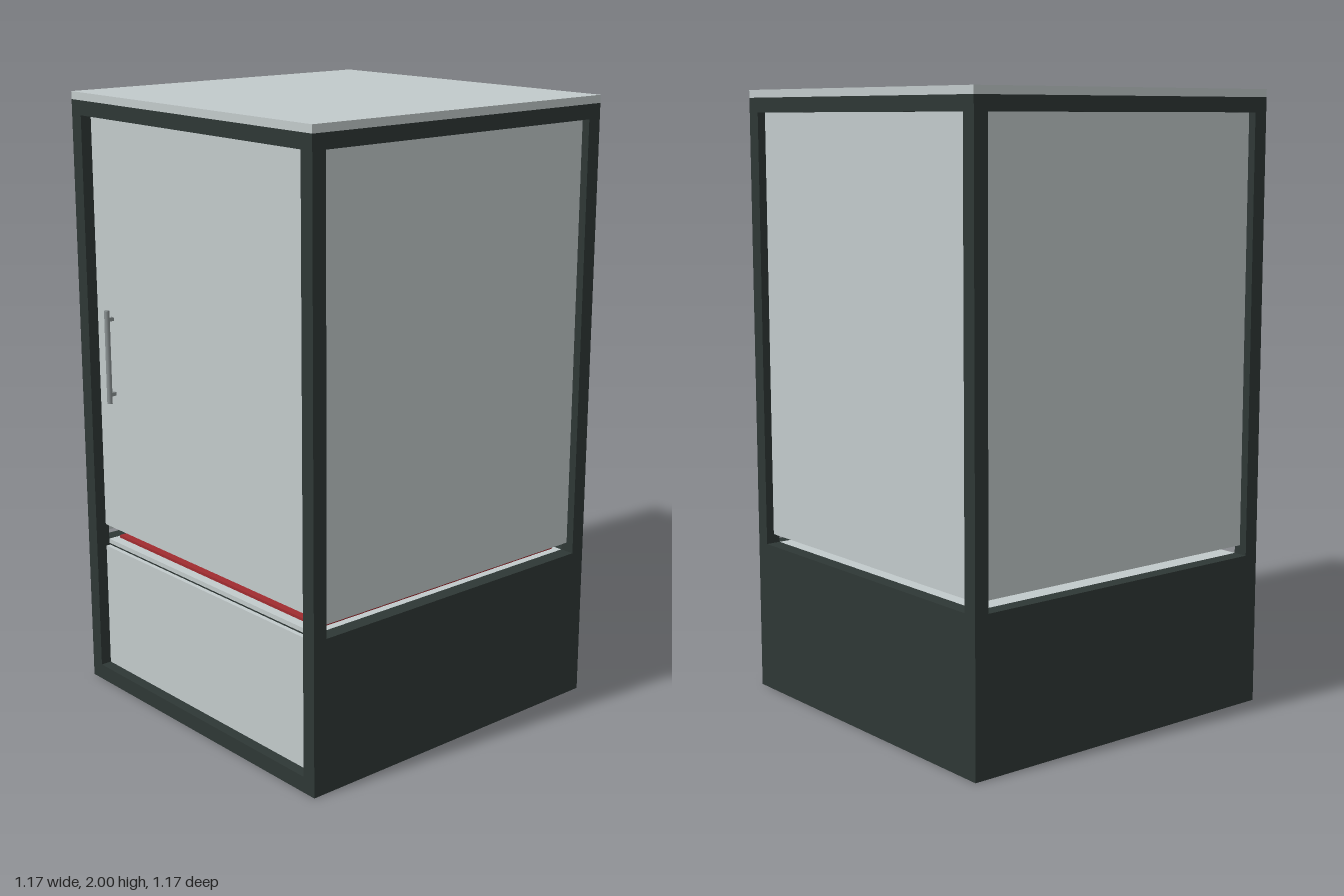
import * as THREE from 'three';

export function createModel() {
  const root = new THREE.Group();
  root.name = 'displayCabinet';
  const mat = (name, color) => {
    const m = new THREE.MeshStandardMaterial({ color });
    m.name = name;
    return m;
  };
  const dark = mat('darkFrame', 0x2e3735);
  const glass = mat('paleGlass', 0xc2cacb);
  const red = mat('redCloth', 0xa02c30);
  const steel = mat('steel', 0x8b9293);
  const bowlGrey = mat('bowlGrey', 0xa3abab);
  bowlGrey.side = THREE.DoubleSide;

  const add = (name, geometry, material, x = 0, y = 0, z = 0) => {
    const mesh = new THREE.Mesh(geometry, material);
    mesh.name = name;
    mesh.position.set(x, y, z);
    root.add(mesh);
    return mesh;
  };
  // box given by its lower and upper corners
  const box = (name, material, x0, x1, y0, y1, z0, z1) =>
    add(name, new THREE.BoxGeometry(x1 - x0, y1 - y0, z1 - z0), material,
      (x0 + x1) / 2, (y0 + y1) / 2, (z0 + z1) / 2);

  const O = 0.587, I = 0.538; // outer and inner half widths
  const railLow = 1.928, railTop = 1.975, baseTop = 0.5;

  // corner posts and top rails
  for (const s of [-1, 1]) {
    const a = s < 0 ? -O : I, b = s < 0 ? -I : O;
    const side = s < 0 ? 'right' : 'left', end = s < 0 ? 'back' : 'front';
    box(side + 'FrontPost', dark, a, b, 0, railTop, I, O);
    box(side + 'BackPost', dark, a, b, 0, railTop, -O, -I);
    box(side + 'TopRail', dark, a, b, railLow, railTop, -I, I);
    box(end + 'TopRail', dark, -I, I, railLow, railTop, a, b);
    // solid base walls and side windows
    box(side + 'BaseWall', dark, a, b, 0, baseTop, -I, I);
    const g0 = s < 0 ? -0.56 : 0.545, g1 = s < 0 ? -0.545 : 0.56;
    box(side + 'Window', glass, g0, g1, 0.53, railLow, -I, I);
  }
  box('backBaseWall', dark, -I, I, 0, baseTop, -O, -I);
  box('backWindow', glass, -I, I, 0.53, railLow, -0.56, -0.545);
  box('frontBottomRail', dark, -I, I, 0, 0.052, I, O);
  box('floor', dark, -I, I, 0, 0.04, -I, I);
  box('topPane', glass, -O, O, railTop, 2, -O, O);

  // door, lower panel and display shelf
  box('door', glass, -I, I, 0.555, railLow, 0.535, 0.55);
  box('lowerPanel', glass, -I, I, 0.052, 0.478, 0.535, 0.55);
  box('shelf', glass, -I, I, 0.485, baseTop, -I, I);
  box('shelfSupport', dark, -I, I, 0.47, 0.485, -I, 0.53);
  box('cloth', red, -0.5, 0.53, 0.51, 0.519, -0.5, 0.52);

  // handle with its two mounts
  add('handle', new THREE.CylinderGeometry(0.009, 0.009, 0.31, 16), steel, -0.453, 1.155, 0.572);
  for (const y of [1.03, 1.28]) {
    box('handleMount', steel, -0.459, -0.447, y - 0.006, y + 0.006, 0.548, 0.572);
  }
  // hinges
  for (const y of [0.73, 1.755]) {
    box('hinge', glass, 0.514, 0.538, y - 0.031, y + 0.031, 0.548, 0.557);
  }

  // bowl, cup and thin rod on the shelf
  const profile = [[0, 0.519], [0.18, 0.519], [0.206, 0.565], [0.215, 0.6], [0.205, 0.6], [0.172, 0.527], [0, 0.527]]
    .map(([r, y]) => new THREE.Vector2(r, y));
  add('bowl', new THREE.LatheGeometry(profile, 32), bowlGrey, 0.03, 0, 0.015);
  add('cup', new THREE.CylinderGeometry(0.06, 0.06, 0.1, 24), bowlGrey, 0.37, 0.555, -0.35);
  add('rod', new THREE.CylinderGeometry(0.006, 0.006, 0.16, 12), steel, 0.475, 0.56, -0.475);
  add('rodTip', new THREE.CylinderGeometry(0.011, 0.011, 0.01, 12), steel, 0.475, 0.482, -0.475);

  return root;
}
